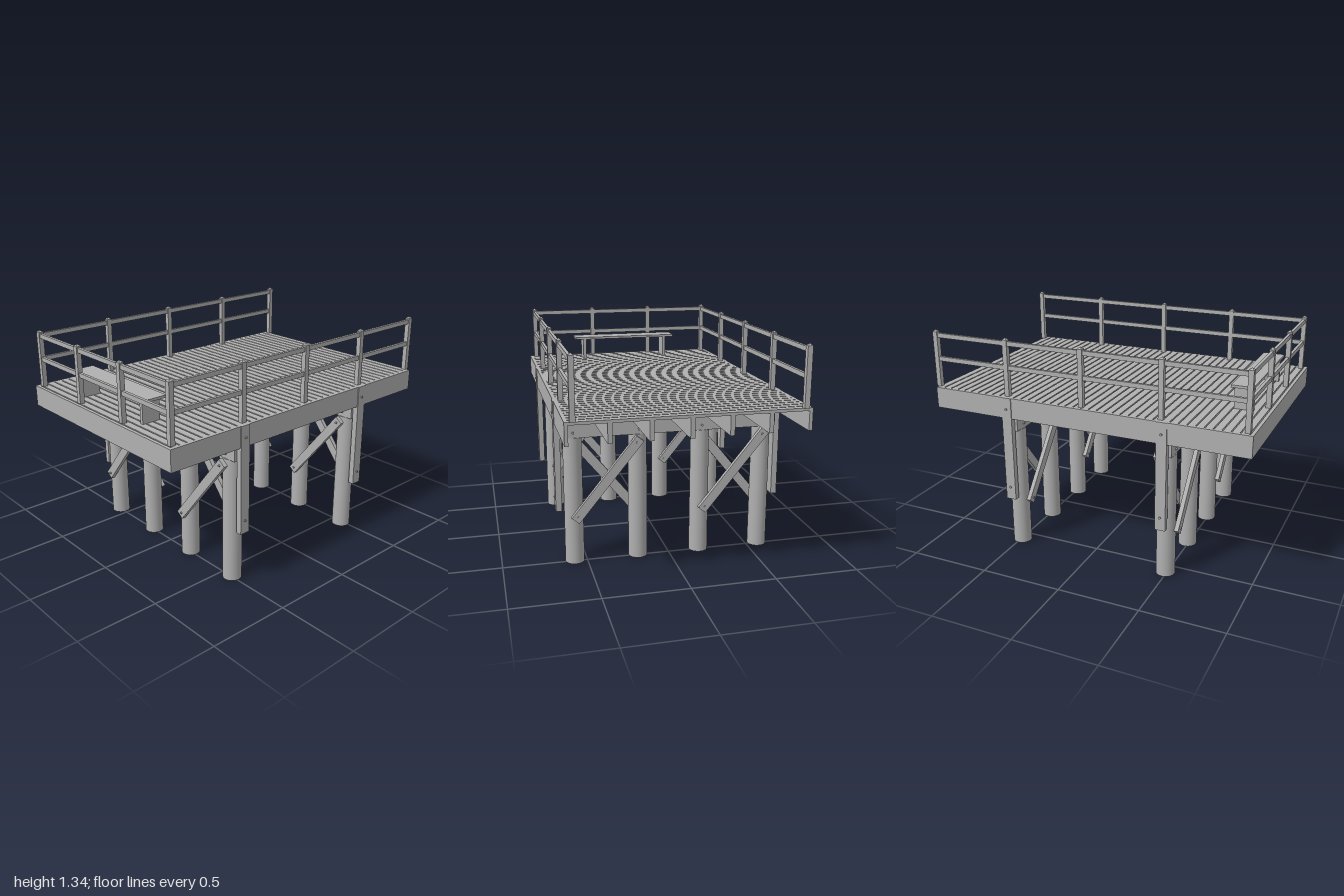
import * as THREE from 'three';

const timber = new THREE.MeshStandardMaterial({ color: 0xb0b0b0 });
timber.name = 'grey timber';

export function createModel() {
  const model = new THREE.Group();
  model.name = 'pierDeck';

  const add = (name, geometry, x, y, z, parent = model) => {
    const mesh = new THREE.Mesh(geometry, timber);
    mesh.name = name;
    mesh.position.set(x, y, z);
    parent.add(mesh);
    return mesh;
  };
  // box given by its limits on each axis
  const box = (name, x0, x1, y0, y1, z0, z1, parent) =>
    add(name, new THREE.BoxGeometry(x1 - x0, y1 - y0, z1 - z0),
      (x0 + x1) / 2, (y0 + y1) / 2, (z0 + z1) / 2, parent);
  const bolt = (x, y, z, axis, parent) => {
    const b = add('bolt', new THREE.CylinderGeometry(0.007, 0.007, 0.012, 8), x, y, z, parent);
    if (axis === 'x') b.rotation.z = Math.PI / 2;
    else b.rotation.x = Math.PI / 2;
  };

  const deckY = 0.985, frameY = 0.857, back = -0.985, front = 0.995;

  // deck planks with narrow gaps
  const count = 40, pitch = (front - 0.02 - back) / count;
  for (let i = 0; i < count; i++) {
    const z = back + i * pitch;
    box('deckPlank', -0.655, 0.655, 0.968, deckY, z, z + pitch - 0.008);
  }

  // rim boards, front fascia and joists
  box('frontFascia', -0.675, 0.675, frameY, deckY, front - 0.02, front);
  for (const s of [-1, 1]) {
    const rim = box('sideRim', -0.01, 0.01, frameY, deckY, back, front - 0.02);
    rim.position.x = s * 0.665;
  }
  for (let i = -2; i <= 2; i++)
    box('joist', i * 0.22 - 0.0125, i * 0.22 + 0.0125, frameY, 0.968, back, front - 0.02);

  // two bents: piles, cap beam, end boards and braces
  const pileX = [-0.573, -0.19, 0.19, 0.573];
  const pileGeo = new THREE.CylinderGeometry(0.055, 0.057, 0.77, 28);
  for (const bentZ of [-0.49, 0.49]) {
    const bent = new THREE.Group();
    bent.name = 'bent';
    bent.position.z = bentZ;
    model.add(bent);

    box('capBeam', -0.645, 0.645, 0.77, frameY, -0.048, 0.048, bent);
    for (const x of pileX) {
      add('pile', pileGeo, x, 0.385, 0, bent);
      for (const s of [-1, 1]) bolt(x, 0.8, s * 0.05, 'z', bent);
    }
    for (const s of [-1, 1]) {
      const board = box('endBoard', -0.0175, 0.0175, 0.33, deckY, -0.032, 0.032, bent);
      board.position.x = s * 0.6625;
      for (const y of [0.41, 0.915]) bolt(s * 0.681, y, 0, 'x', bent);
    }
    // crossing braces, one on each face of each pile pair
    for (const cx of [-0.381, 0.381])
      for (const s of [-1, 1]) {
        const brace = add('brace', new THREE.BoxGeometry(0.61, 0.056, 0.026),
          cx, 0.515, s * 0.068, bent);
        brace.rotation.z = s * Math.atan2(0.472, 0.385);
        for (const e of [-1, 1])
          bolt(cx + e * 0.175, 0.515 + s * e * 0.215, s * 0.082, 'z', bent);
      }
  }

  // railing posts with pointed tops
  const post = (x, z) => {
    box('railingPost', x - 0.015, x + 0.015, deckY, 1.325, z - 0.015, z + 0.015);
    const cap = new THREE.ConeGeometry(0.015 * Math.SQRT2, 0.012, 4, 1).toNonIndexed();
    cap.rotateY(Math.PI / 4);
    cap.computeVertexNormals();
    add('postCap', cap, x, 1.331, z);
  };
  const postX = 0.633, postZ = [0.957, 0.4715, -0.014, -0.4995, -0.985];
  for (const s of [-1, 1]) for (const z of postZ) post(s * postX, z);
  for (const x of [-0.21, 0.21]) post(x, postZ[0]);

  // upper and lower rails on three sides
  for (const y of [1.145, 1.29]) {
    for (const s of [-1, 1])
      box('sideRail', s * postX - 0.009, s * postX + 0.009, y, y + 0.027, postZ[4], postZ[0]);
    box('frontRail', -postX, postX, y, y + 0.027, postZ[0] - 0.009, postZ[0] + 0.009);
  }

  // bench
  box('benchSeat', -0.36, 0.36, 1.125, 1.14, 0.772, 0.902);
  for (const x of [-0.295, 0.295])
    box('benchLeg', x - 0.011, x + 0.011, deckY, 1.125, 0.78, 0.894);

  return model;
}
